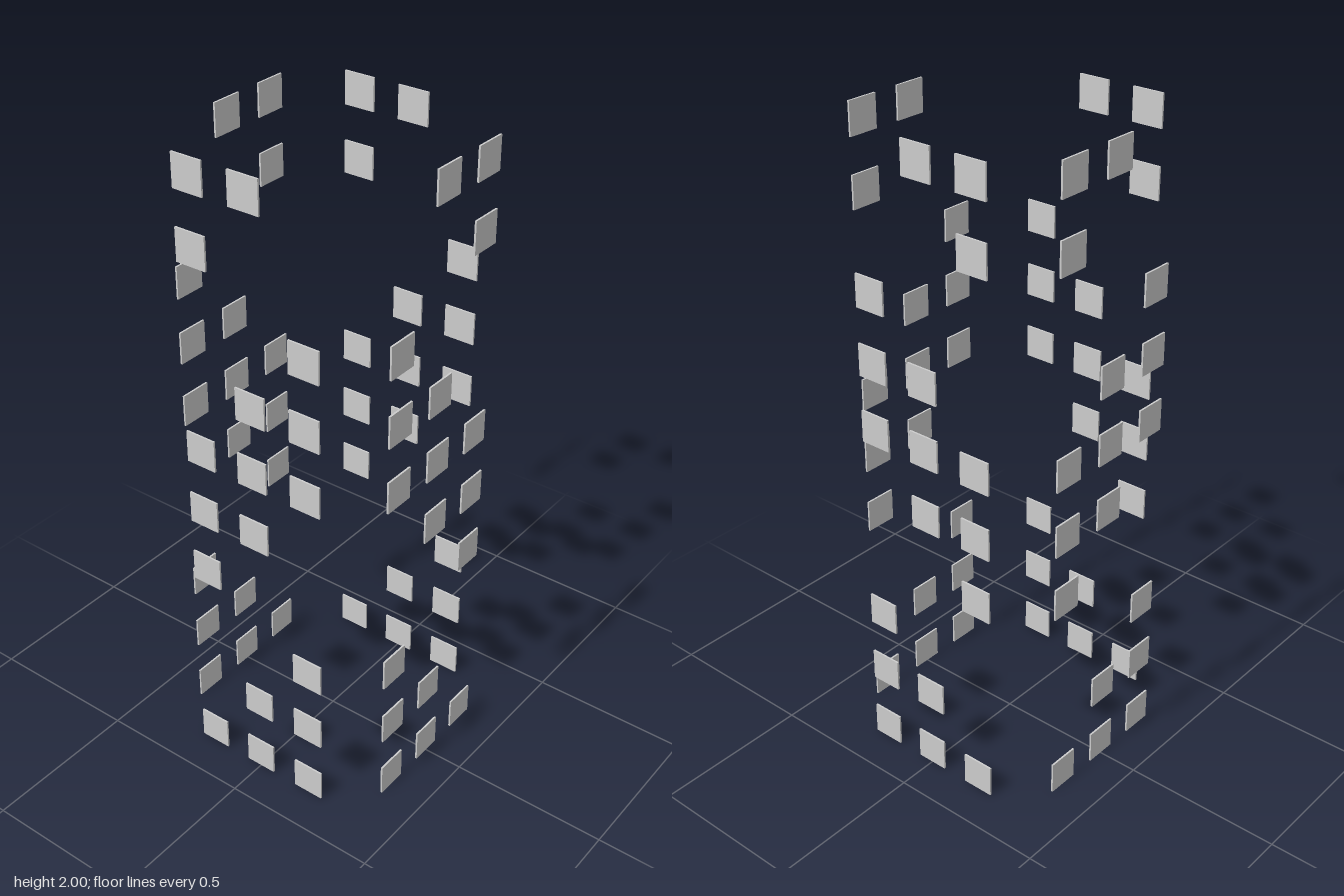
import * as THREE from 'three';

const SIZE = 0.102;        // edge of a square panel
const THICK = 0.006;       // panel thickness
const COLUMN_STEP = 0.187; // spacing between the columns of a wall
const ROW_STEP = (2 - SIZE) / 9;
const WALL = 0.369;        // distance from the axis to a wall

// Columns filled in each row; the pattern repeats every five rows
const PATTERN = [[-1, 0, 1], [0, 1], [1], [-1], [-1, 0]];

export function createModel() {
  const model = new THREE.Group();
  model.name = 'panelTower';
  const material = new THREE.MeshStandardMaterial({ color: 0xcccccc });
  const facing = new THREE.BoxGeometry(SIZE, SIZE, THICK);
  const sideways = new THREE.BoxGeometry(THICK, SIZE, SIZE);

  // Opposite walls share the same pattern along their common axis
  const walls = [
    { name: 'front', geometry: facing, place: (u) => [u, WALL] },
    { name: 'back', geometry: facing, place: (u) => [u, -WALL] },
    { name: 'left', geometry: sideways, place: (u) => [WALL, u] },
    { name: 'right', geometry: sideways, place: (u) => [-WALL, u] },
  ];

  for (const { name, geometry, place } of walls) {
    const wall = new THREE.Group();
    wall.name = name + 'Wall';
    for (let row = 0; row < 10; row++) {
      for (const column of PATTERN[row % 5]) {
        const [x, z] = place(column * COLUMN_STEP);
        const panel = new THREE.Mesh(geometry, material);
        panel.name = name + 'Panel';
        panel.position.set(x, SIZE / 2 + row * ROW_STEP, z);
        wall.add(panel);
      }
    }
    model.add(wall);
  }
  return model;
}
